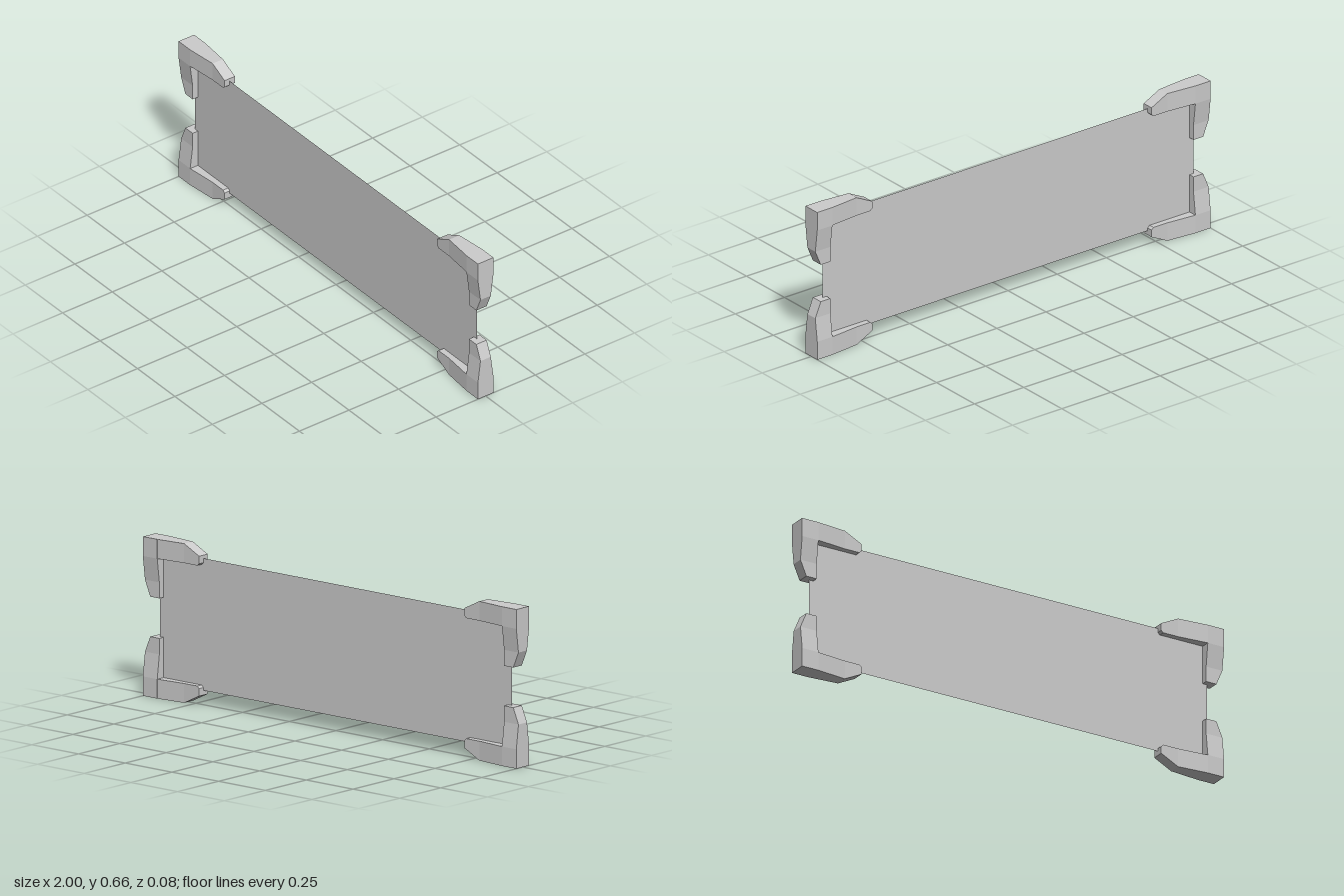
import * as THREE from 'three';

const HEIGHT = 0.657;

// Joins four-cornered sections into a closed solid; each section is listed counter-clockwise about the sweep.
function loft(sections) {
  const pos = [];
  const quad = (a, b, c, d) => pos.push(...a, ...b, ...c, ...a, ...c, ...d);
  for (let s = 0; s < sections.length - 1; s++) {
    const p = sections[s], q = sections[s + 1];
    for (let i = 0; i < 4; i++) {
      const j = (i + 1) % 4;
      quad(p[i], p[j], q[j], q[i]);
    }
  }
  const first = sections[0], last = sections[sections.length - 1];
  quad(first[3], first[2], first[1], first[0]);
  quad(last[0], last[1], last[2], last[3]);
  const geo = new THREE.BufferGeometry();
  geo.setAttribute('position', new THREE.Float32BufferAttribute(pos, 3));
  geo.computeVertexNormals();
  return geo;
}

export function createModel() {
  const model = new THREE.Group();
  model.name = 'banner';
  const grey = new THREE.MeshStandardMaterial({ color: 0xcccccc, flatShading: true });
  const sheet = new THREE.MeshStandardMaterial({ color: 0xcccccc, side: THREE.DoubleSide });

  // Thin flat panel
  const panel = new THREE.Mesh(new THREE.PlaneGeometry(1.886, 0.545), sheet);
  panel.name = 'panel';
  panel.position.y = HEIGHT / 2 + 0.003;
  model.add(panel);

  // Upright arm with the corner block: y, outer x, inner x, half depth
  const upright = loft([
    [0, -1, -0.923, 0.039],
    [0.08, -1, -0.923, 0.039],
    [0.18, -1, -0.923, 0.026],
    [0.246, -0.972, -0.923, 0.026],
  ].map(([y, a, b, d]) => [[a, y, d], [b, y, d], [b, y, -d], [a, y, -d]]));

  // Level arm: x, outer y, inner y, half depth
  const level = loft([
    [-0.925, 0, 0.08, 0.039],
    [-0.79, 0, 0.08, 0.026],
    [-0.72, 0.035, 0.08, 0.026],
    [-0.71, 0.04, 0.071, 0.026],
  ].map(([x, a, b, d]) => [[x, a, -d], [x, b, -d], [x, b, d], [x, a, d]]));

  for (const geo of [upright, level]) geo.translate(0, -HEIGHT / 2, 0);

  // Same bracket turned onto each corner
  const corners = [
    ['lowerRightBracket', 0, 0, 0],
    ['lowerLeftBracket', 0, Math.PI, 0],
    ['upperRightBracket', Math.PI, 0, 0],
    ['upperLeftBracket', 0, 0, Math.PI],
  ];
  for (const [name, rx, ry, rz] of corners) {
    const bracket = new THREE.Group();
    bracket.name = name;
    for (const [part, geo] of [['uprightArm', upright], ['levelArm', level]]) {
      const mesh = new THREE.Mesh(geo, grey);
      mesh.name = part;
      bracket.add(mesh);
    }
    bracket.rotation.set(rx, ry, rz);
    bracket.position.y = HEIGHT / 2;
    model.add(bracket);
  }
  return model;
}
